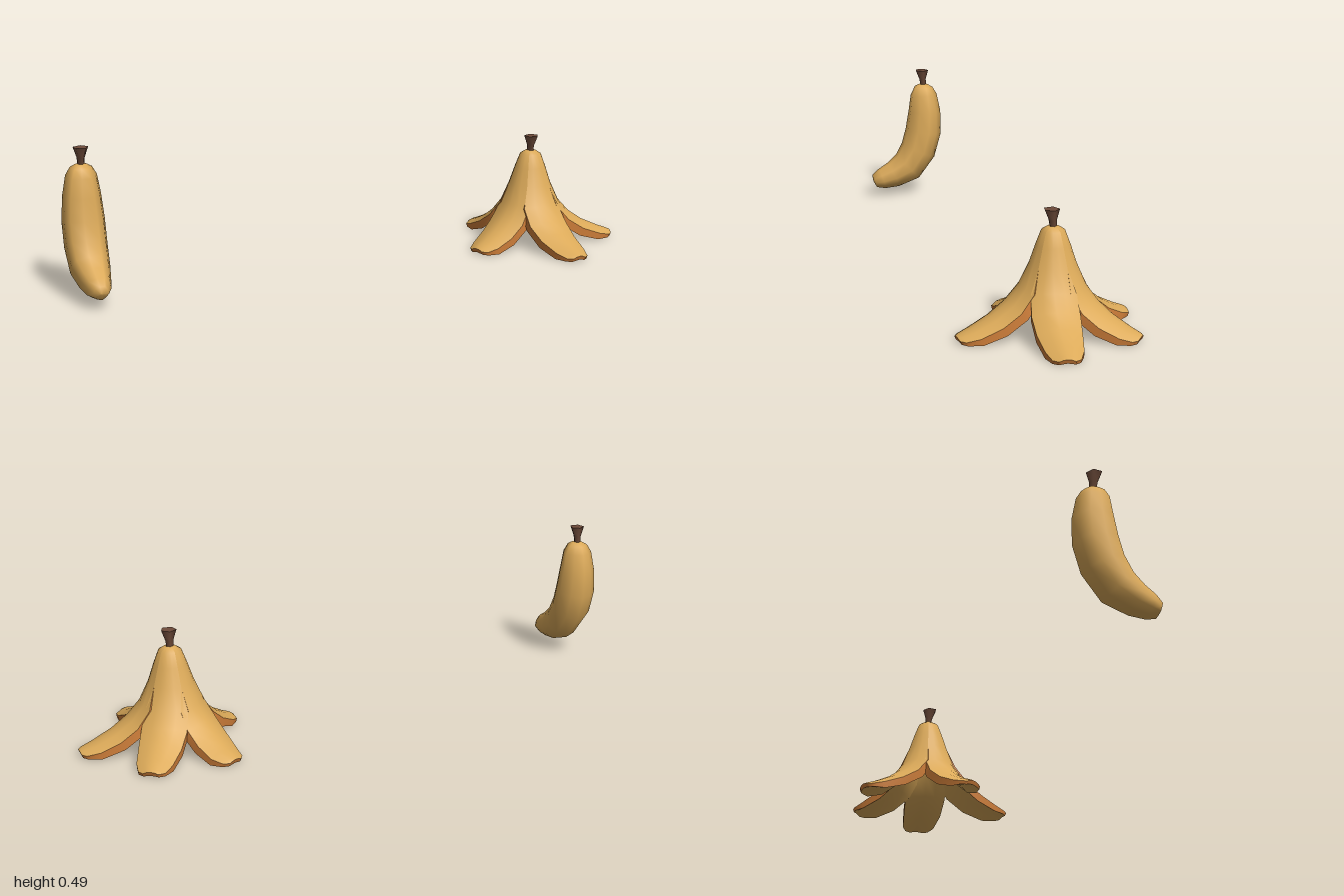
import * as THREE from 'three';

function flatColour(name, color) {
  const m = new THREE.MeshStandardMaterial({ color });
  m.name = name;
  return m;
}

// Skin a grid of points: rows of equal length, optionally wrapped round
function skin(rows, wrap = false) {
  const n = rows[0].length, index = [];
  for (let i = 0; i < rows.length - 1; i++) {
    for (let j = 0; j < (wrap ? n : n - 1); j++) {
      const k = (j + 1) % n;
      const a = i * n + j, b = i * n + k, c = a + n, d = b + n;
      index.push(a, b, c, b, d, c);
    }
  }
  const g = new THREE.BufferGeometry().setFromPoints(rows.flat());
  g.setIndex(index);
  g.computeVertexNormals();
  return g;
}

function mesh(name, geometry, material) {
  const m = new THREE.Mesh(geometry, material);
  m.name = name;
  return m;
}

export function createModel() {
  const yellow = flatColour('ripe yellow', 0xdcaa59);
  const orange = flatColour('peel edge orange', 0xd07f3a);
  const brown = flatColour('stem brown', 0x6e4b39);
  const model = new THREE.Group();
  model.name = 'bananaAndPeel';

  // Flared five-sided stem, leaning slightly forward at the top
  function stem(y) {
    const rows = [[0.057, 0.001], [0.057, 0.026], [0.0569, 0.026], [0.022, 0.0135], [-0.01, 0.011]].map(([h, r]) =>
      Array.from({ length: 5 }, (_, j) => {
        const a = (j * 72 - 7) * Math.PI / 180;
        return new THREE.Vector3(Math.cos(a) * r, y + h, Math.sin(a) * r + h * 0.1);
      }));
    return mesh('stem', skin(rows, true), brown);
  }

  // Whole banana: softened pentagon swept down a curved spine (y, z, radius)
  const spine = [
    [0.436, 0, 0.001], [0.433, 0, 0.02], [0.423, 0, 0.037], [0.395, 0, 0.053],
    [0.33, -0.002, 0.065], [0.25, 0.004, 0.073], [0.175, 0.025, 0.073], [0.112, 0.068, 0.068],
    [0.082, 0.125, 0.054], [0.068, 0.17, 0.042], [0.06, 0.198, 0.027], [0.058, 0.203, 0.001],
  ];
  const bananaRows = spine.map(([y, z, r], i) => {
    const p = spine[Math.max(i - 1, 0)], q = spine[Math.min(i + 1, spine.length - 1)];
    const len = Math.hypot(q[0] - p[0], q[1] - p[1]);
    const ty = (q[0] - p[0]) / len, tz = (q[1] - p[1]) / len;
    return Array.from({ length: 10 }, (_, j) => {
      const a = (j * 36 - 7) * Math.PI / 180;
      const R = r * (j % 2 ? 0.9 : 1);
      const s = Math.sin(a) * R;
      return new THREE.Vector3(Math.cos(a) * R, y + tz * s, z - ty * s);
    });
  });
  const banana = new THREE.Group();
  banana.name = 'banana';
  banana.position.set(-0.938, 0, -0.025);
  banana.add(mesh('bananaBody', skin(bananaRows, true), yellow), stem(0.433));
  model.add(banana);

  // Peel strip sections: radius, height, half width, pitch of the outer face, thickness
  const sin36 = Math.sin(Math.PI / 5);
  const sections = [
    [0.003, 0.334, 0, 0, 0.001], [0.02, 0.331, 0, 0, 0.008], [0.037, 0.32, 0, 0, 0.014],
    [0.054, 0.275, 0, 0, 0.018], [0.074, 0.215, 0, 0, 0.02], [0.103, 0.15, 0.069, 0.35, 0.026],
    [0.142, 0.105, 0.074, 0.75, 0.03], [0.19, 0.07, 0.069, 1.1, 0.029],
    [0.25, 0.041, 0.058, 1.3, 0.024], [0.288, 0.026, 0.043, 1.3, 0.018], [0.3, 0.02, 0.025, 1.2, 0.015],
  ];
  const split = 4, splitRadius = sections[split][0];

  function petal(baseDeg, tipDeg, length) {
    const outer = [], inner = [];
    sections.forEach(([r0, y, w, pitch, thick], i) => {
      const t = Math.max(0, i - split) / (sections.length - 1 - split);
      const a = THREE.MathUtils.degToRad(THREE.MathUtils.lerp(baseDeg, tipDeg, Math.min(1, t * 1.6)));
      const r = i <= split ? r0 : splitRadius + (r0 - splitRadius) * (length - splitRadius) / (0.3 - splitRadius);
      const half = w || r * sin36;
      const point = (u, depth) => {
        const d = half * 0.325 * u * u + depth;
        const radial = r - Math.cos(pitch) * d;
        return new THREE.Vector3(
          Math.cos(a) * radial - Math.sin(a) * half * u,
          Math.max(0.001, y - Math.sin(pitch) * d),
          Math.sin(a) * radial + Math.cos(a) * half * u);
      };
      const us = [-1, -0.5, 0, 0.5, 1];
      outer.push(us.map(u => point(u, 0)));
      inner.push(us.map(u => point(u * (i <= split ? Math.max(0, 1 - thick / r) : 1), thick)));
    });
    const g = new THREE.Group();
    g.name = 'peelStrip';
    const last = sections.length - 1;
    g.add(
      mesh('stripOutside', skin(outer), yellow),
      mesh('stripInside', skin(inner.map(row => [...row].reverse())), yellow),
      mesh('stripLeftEdge', skin(outer.map((row, i) => [row[4], inner[i][4]]).slice(split)), orange),
      mesh('stripRightEdge', skin(outer.map((row, i) => [inner[i][0], row[0]]).slice(split)), orange),
      mesh('stripTip', skin([outer[last], inner[last]]), orange));
    return g;
  }

  // Empty peel: five strips splayed out on the ground
  const peel = new THREE.Group();
  peel.name = 'peel';
  peel.position.set(0.688, 0, -0.024);
  [[9.5, 0.31], [84, 0.315], [160, 0.272], [251, 0.285], [309, 0.29]].forEach(([tip, length], k) =>
    peel.add(petal(17 + k * 72, tip, length)));
  peel.add(stem(0.329));
  model.add(peel);

  return model;
}
